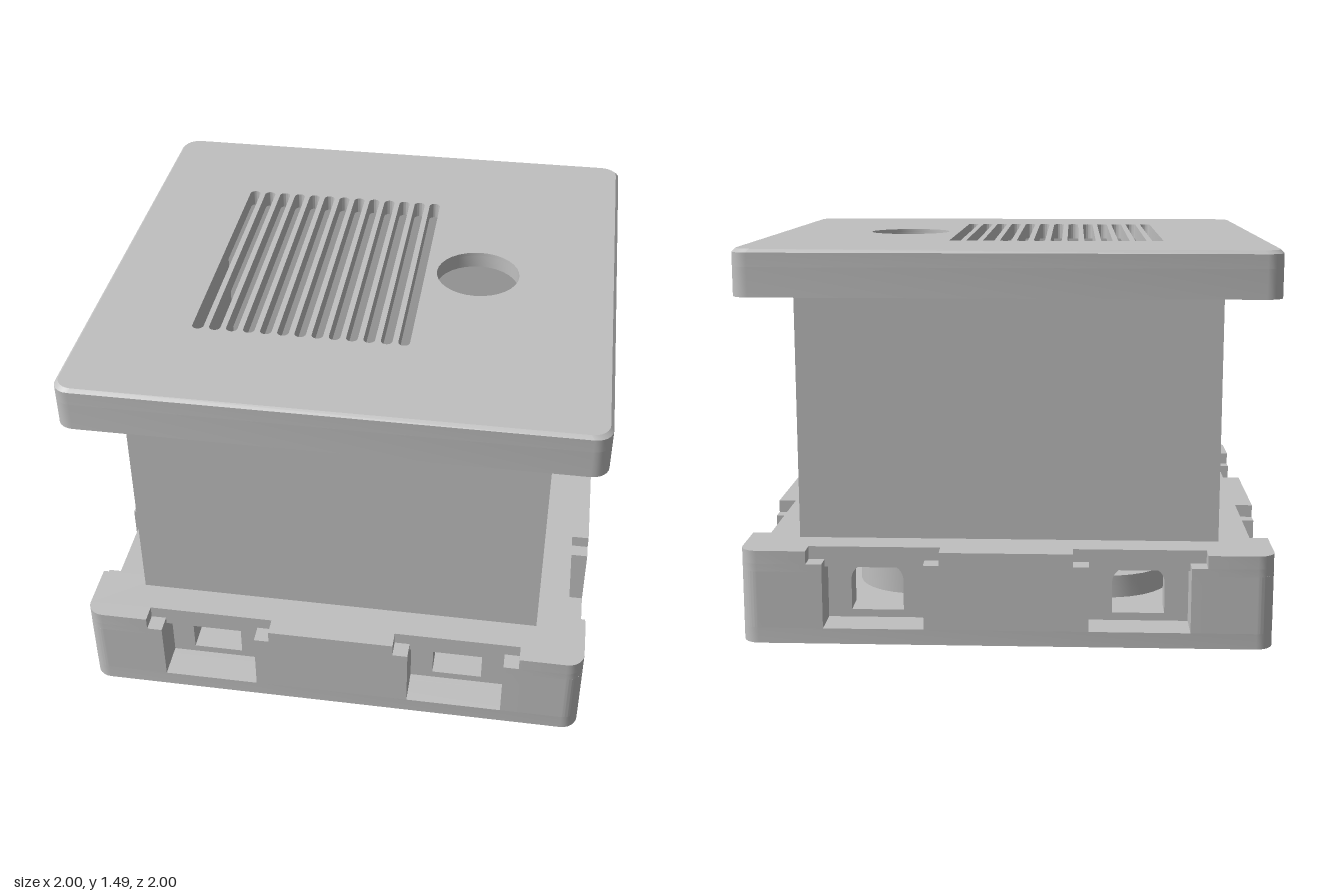
import * as THREE from 'three';
import { toCreasedNormals } from 'three/addons/utils/BufferGeometryUtils.js';

const grey = new THREE.MeshStandardMaterial({ color: 0xc0c0c0 });
grey.name = 'lightGrey';
const CORNER = 0.065;

// Outline of a square with rounded corners; optional notches [innerT, outerT, depthLine] on every side.
function squareOutline(half, r, notch) {
  const s = new THREE.Shape();
  for (let i = 0; i < 4; i++) {
    const a = i * Math.PI / 2, c = Math.cos(a), n = Math.sin(a);
    const to = (x, y) => {
      const px = x * c - y * n, py = x * n + y * c;
      if (i === 0 && s.curves.length === 0 && !s.started) { s.moveTo(px, py); s.started = true; } else s.lineTo(px, py);
    };
    to(half, -half + r);
    if (notch) {
      const [t0, t1, d] = notch;
      for (const [u, v] of [[-t1, -t0], [t0, t1]]) {
        to(half, u); to(d, u); to(d, v); to(half, v);
      }
    }
    for (let k = 0; k <= 6; k++) {
      const b = k / 6 * Math.PI / 2;
      to(half - r + r * Math.cos(b), half - r + r * Math.sin(b));
    }
  }
  return s;
}

function squareHole(h) {
  const p = new THREE.Path();
  p.moveTo(-h, -h); p.lineTo(-h, h); p.lineTo(h, h); p.lineTo(h, -h); p.closePath();
  return p;
}

function circleHole(x, y, r) {
  return new THREE.Path().absarc(x, y, r, 0, Math.PI * 2, true);
}

function extrude(shape, depth) {
  return new THREE.ExtrudeGeometry(shape, { depth, bevelEnabled: false, curveSegments: 16 });
}

// Horizontal layer between two heights.
function layer(shape, y0, y1) {
  return extrude(shape, y1 - y0).rotateX(-Math.PI / 2).translate(0, y0, 0);
}

function add(parent, name, geo) {
  const m = new THREE.Mesh(toCreasedNormals(geo, 0.6), grey);
  m.name = name;
  parent.add(m);
  return m;
}

function box(parent, name, x0, x1, y0, y1, z0, z1) {
  return add(parent, name, new THREE.BoxGeometry(x1 - x0, y1 - y0, z1 - z0)
    .translate((x0 + x1) / 2, (y0 + y1) / 2, (z0 + z1) / 2));
}

function buildBase() {
  const g = new THREE.Group();
  g.name = 'base';

  // floor with blind screw holes underneath
  const bottom = squareOutline(1, CORNER);
  const spots = [];
  for (const sx of [-1, 1]) for (const sy of [-1, 1]) {
    spots.push([0.1 * sx, 0.1 * sy], [0.91 * sx, 0.91 * sy], [0.92 * sx, 0.1 * sy], [0.1 * sx, 0.92 * sy]);
  }
  for (const [x, y] of spots) bottom.holes.push(circleHole(x, y, 0.024));
  add(g, 'floor', layer(bottom, 0, 0.06));
  box(g, 'innerFloor', -0.8, 0.8, 0.06, 0.08, -0.8, 0.8);
  add(g, 'holeCover', layer(squareOutline(0.93, 0.02, [0.31, 0.69, 0.86]), 0.06, 0.08));

  // corner block outline
  const corner = new THREE.Shape();
  corner.moveTo(0.69, 0.86); corner.lineTo(0.86, 0.86); corner.lineTo(0.86, 0.69); corner.lineTo(1, 0.69);
  corner.lineTo(1, 1 - CORNER);
  corner.absarc(1 - CORNER, 1 - CORNER, CORNER, 0, Math.PI / 2, false);
  corner.lineTo(0.69, 1); corner.closePath();

  // window wall with two arched openings
  const wall = new THREE.Shape();
  wall.moveTo(-0.86, 0.06); wall.lineTo(0.86, 0.06); wall.lineTo(0.86, 0.28); wall.lineTo(-0.86, 0.28); wall.closePath();
  for (const x of [-0.5, 0.5]) {
    const w = new THREE.Path();
    w.moveTo(x - 0.1, 0.09); w.lineTo(x - 0.1, 0.21);
    w.absarc(x - 0.04, 0.21, 0.06, Math.PI, Math.PI / 2, true);
    w.absarc(x + 0.04, 0.21, 0.06, Math.PI / 2, 0, true);
    w.lineTo(x + 0.1, 0.09); w.closePath();
    wall.holes.push(w);
  }

  for (let i = 0; i < 4; i++) {
    const side = new THREE.Group();
    side.name = 'baseSide';
    side.rotation.y = i * Math.PI / 2;
    add(side, 'cornerBlock', layer(corner, 0.06, 0.28));
    box(side, 'middleBlock', -0.31, 0.31, 0.06, 0.28, 0.86, 1);
    add(side, 'windowWall', extrude(wall, 0.11).translate(0, 0, 0.75));
    g.add(side);
  }

  // rim above the recesses, with stepped notches
  const lower = squareOutline(1, CORNER, [0.31, 0.69, 0.93]);
  const upper = squareOutline(1, CORNER, [0.25, 0.75, 0.93]);
  lower.holes.push(squareHole(0.75));
  upper.holes.push(squareHole(0.75));
  add(g, 'lowerRim', layer(lower, 0.28, 0.31));
  add(g, 'upperRim', layer(upper, 0.31, 0.36));
  return g;
}

// Holders standing on the inner floor
function buildHolders() {
  const g = new THREE.Group();
  g.name = 'holders';
  for (const [name, x, r, t, top] of [['lowRing', -0.38, 0.27, 0.02, 0.17], ['tallTube', 0.38, 0.25, 0.02, 0.5]]) {
    const s = new THREE.Shape().absarc(0, 0, r, 0, Math.PI * 2, false);
    s.holes.push(circleHole(0, 0, r - t));
    add(g, name, layer(s, 0.08, top)).position.set(x, 0, -0.38);
  }
  const tray = squareOutline(0.25, 0.06);
  const hole = squareOutline(0.185, 0.03);
  tray.holes.push(new THREE.Path(hole.getPoints().reverse()));
  const t = add(g, 'trayFrame', layer(tray, 0.08, 0.11));
  t.scale.x = 1.9;
  t.position.set(0.225, 0, 0.47);
  box(g, 'trayEnd', -0.25, -0.19, 0.08, 0.14, 0.29, 0.66);
  return g;
}

function buildBody() {
  const g = new THREE.Group();
  g.name = 'body';
  for (const s of [-1, 1]) {
    // full-width front and back panels, shorter side panels leaving a thin gap
    box(g, s > 0 ? 'frontPanel' : 'backPanel', -0.805, 0.805, 0.33, 1.33, s * 0.79 - 0.015, s * 0.79 + 0.015);
    box(g, s > 0 ? 'leftPanel' : 'rightPanel', s * 0.79 - 0.015, s * 0.79 + 0.015, 0.33, 1.33, -0.765, 0.765);
  }
  return g;
}

function buildLid() {
  const g = new THREE.Group();
  g.name = 'lid';
  const skirt = squareOutline(1, CORNER);
  skirt.holes.push(squareHole(0.75));
  add(g, 'lidSkirt', layer(skirt, 1.31, 1.42));

  // vent slots and round opening
  const top = squareOutline(1, CORNER);
  for (let i = 0; i < 13; i++) {
    const x = -0.57 + i * 0.0657, r = 0.022, e = 0.525;
    const p = new THREE.Path();
    p.absarc(x, e, r, Math.PI, 0, true);
    p.absarc(x, -e, r, 0, -Math.PI, true);
    p.closePath();
    top.holes.push(p);
  }
  top.holes.push(circleHole(0.45, 0, 0.165));
  add(g, 'lidPlate', layer(top, 1.42, 1.472));

  // chamfered top edge
  const cap = layer(top, 1.472, 1.485);
  const pos = cap.attributes.position;
  for (let i = 0; i < pos.count; i++) {
    const x = pos.getX(i), z = pos.getZ(i);
    if (pos.getY(i) > 1.48 && Math.max(Math.abs(x), Math.abs(z)) > 0.9) {
      pos.setX(i, x * 0.988);
      pos.setZ(i, z * 0.988);
    }
  }
  add(g, 'lidTop', cap);
  return g;
}

export function createModel() {
  const model = new THREE.Group();
  model.name = 'ventedEnclosure';
  model.add(buildBase(), buildHolders(), buildBody(), buildLid());
  return model;
}
